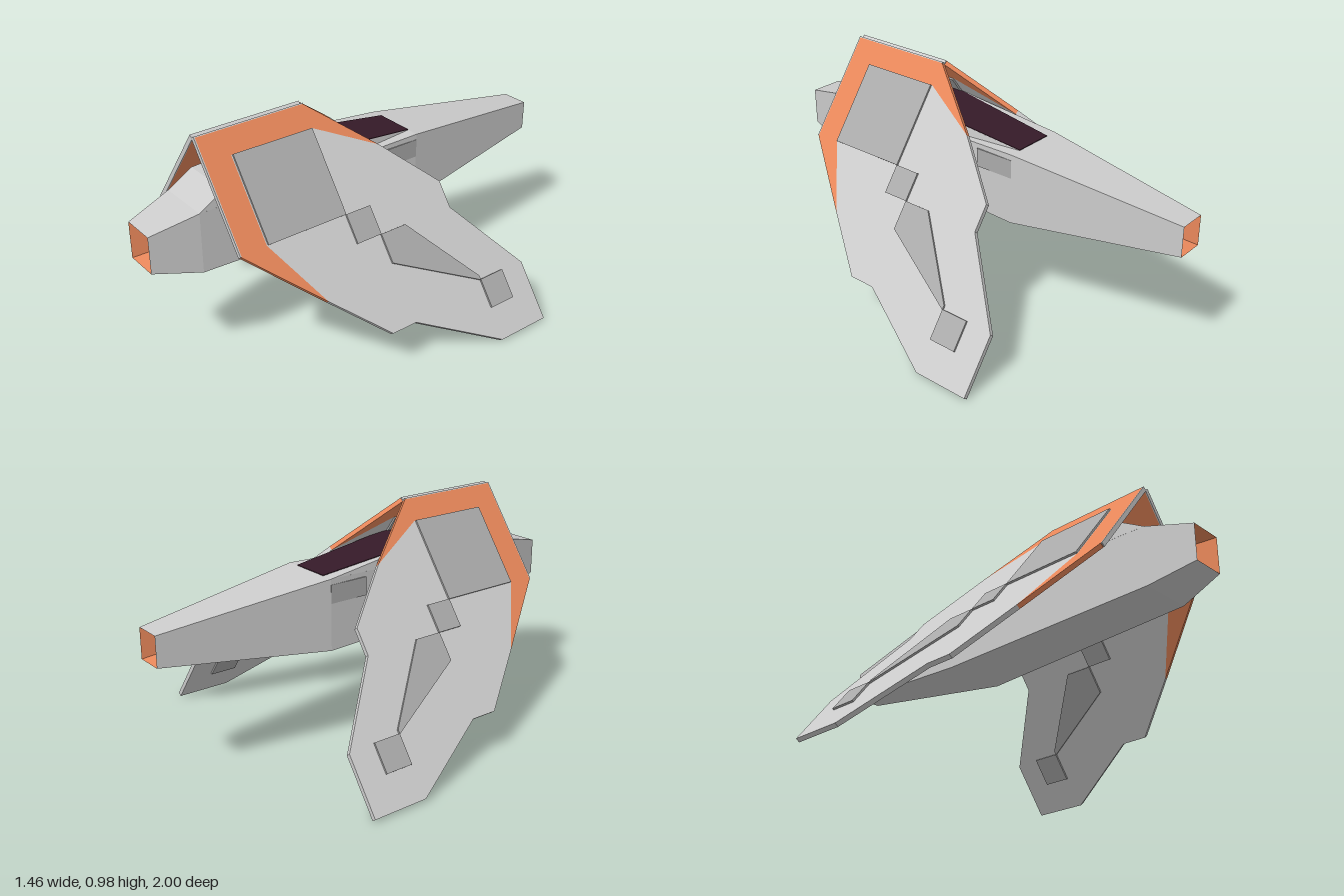
import * as THREE from 'three';

const mat = (color) => new THREE.MeshStandardMaterial({ color, flatShading: true });
const grey = mat(0xcccccc);
const panelGrey = mat(0xaaaaaa);
const orange = mat(0xe8875a);
const darkGlass = mat(0x351a28);

// Rectangular or trapezoidal cross-section: bottom and top half widths at depth z
const ring = (z, wBottom, wTop, y0, y1) => [
  [-wBottom, y0, z], [wBottom, y0, z], [wTop, y1, z], [-wTop, y1, z],
];
const box = (z, w, y0, y1) => ring(z, w, w, y0, y1);

// Skin consecutive cross-sections; faces point outward when z decreases
function loft(name, rings, material) {
  const pos = [];
  for (let i = 0; i < rings.length - 1; i++) {
    const a = rings[i], b = rings[i + 1];
    for (let j = 0; j < 4; j++) {
      const k = (j + 1) % 4;
      pos.push(...a[j], ...b[j], ...b[k], ...a[j], ...b[k], ...a[k]);
    }
  }
  const g = new THREE.BufferGeometry();
  g.setAttribute('position', new THREE.Float32BufferAttribute(pos, 3));
  g.computeVertexNormals();
  const m = new THREE.Mesh(g, material);
  m.name = name;
  return m;
}

// Wing frame: shape x runs along the craft, shape y runs up the slope
const SLOPE_X = 0.597, SLOPE_Y = 0.802;

function wingPart(name, points, thickness, material) {
  const shape = new THREE.Shape(points.map(([z, y]) => new THREE.Vector2(z, y / SLOPE_Y)));
  const g = new THREE.ExtrudeGeometry(shape, { depth: thickness, bevelEnabled: false });
  g.translate(0, 0, -thickness / 2);
  const m = new THREE.Mesh(g, material);
  m.name = name;
  return m;
}

const rect = (z0, z1, y0, y1) => [[z0, y0], [z1, y0], [z1, y1], [z0, y1]];

function createWing(side) {
  const wing = new THREE.Group();
  wing.name = side > 0 ? 'leftWing' : 'rightWing';
  const T = 0.02, P = 0.036;
  wing.add(
    // Main blade
    wingPart('wingBlade', [
      [0.62, 0.59], [0.62, 0.885], [0.24, 0.885], [-0.03, 0.765], [-0.25, 0.58], [-0.25, 0.485],
      [-0.5, 0.215], [-0.5, 0.007], [-0.25, 0.007], [0.12, 0.185], [0.24, 0.185], [0.46, 0.36],
    ], T, grey),
    // Painted leading edge
    wingPart('wingLeadingEdge', [
      [0.735, 0.968], [0.24, 0.968], [-0.03, 0.765], [0.24, 0.885], [0.62, 0.885],
      [0.62, 0.59], [0.46, 0.36], [0.735, 0.583],
    ], T, orange),
    // Thin bare edges along the ridge and the front
    wingPart('ridgeTrim', rect(0.24, 0.74, 0.968, 0.972), T, grey),
    wingPart('frontTrim', rect(0.735, 0.74, 0.585, 0.968), T, grey),
    // Raised plates, standing proud of both faces
    wingPart('upperPlate', rect(0.245, 0.615, 0.59, 0.885), P, panelGrey),
    wingPart('middlePlate', rect(0.125, 0.245, 0.49, 0.59), P, panelGrey),
    wingPart('taperedPlate', [
      [0.125, 0.49], [0, 0.49], [-0.255, 0.235], [-0.255, 0.22], [0.125, 0.39],
    ], P, panelGrey),
    wingPart('tipPlate', rect(-0.38, -0.255, 0.12, 0.222), P, panelGrey),
  );
  wing.applyMatrix4(new THREE.Matrix4().makeBasis(
    new THREE.Vector3(0, 0, 1),
    new THREE.Vector3(-side * SLOPE_X, SLOPE_Y, 0),
    new THREE.Vector3(-SLOPE_Y, -side * SLOPE_X, 0),
  ).setPosition(side * 0.728, 0, 0));
  return wing;
}

function createFuselage() {
  const body = new THREE.Group();
  body.name = 'fuselage';
  const nose = box(1, 0.074, 0.51, 0.67);
  const tail = box(-1, 0.06, 0.525, 0.655);
  body.add(
    loft('hull', [nose, box(0.8, 0.117, 0.46, 0.72), box(-0.25, 0.144, 0.436, 0.745), tail], grey),
    // Hollow tapered openings at both ends
    loft('noseIntake', [box(0.9, 0, 0.594, 0.594), box(0.9, 0.034, 0.534, 0.654), nose], orange),
    loft('tailExhaust', [tail, box(-0.9, 0.035, 0.545, 0.635), box(-0.9, 0, 0.59, 0.59)], orange),
    // Raised cabin roof
    loft('cabinRoof', [
      ring(0.8, 0.117, 0.117, 0.72, 0.72),
      ring(0.69, 0.12, 0.117, 0.723, 0.785),
      ring(0.28, 0.13, 0.122, 0.732, 0.81),
      ring(-0.25, 0.144, 0.09, 0.745, 0.745),
    ], grey),
    // Dark glazing laid on the roof
    loft('canopy', [
      box(0.28, 0, 0.812, 0.812),
      box(0.28, 0.121, 0.808, 0.813),
      box(-0.25, 0.09, 0.743, 0.748),
      box(-0.25, 0, 0.746, 0.746),
    ], darkGlass),
  );
  // Side panels
  for (const s of [-1, 1]) {
    const pad = new THREE.Mesh(new THREE.BoxGeometry(0.014, 0.08, 0.18), panelGrey);
    pad.name = s > 0 ? 'leftSidePanel' : 'rightSidePanel';
    pad.position.set(s * 0.138, 0.68, -0.16);
    body.add(pad);
  }
  body.position.x = 0.007;
  return body;
}

export function createModel() {
  const model = new THREE.Group();
  model.name = 'spacecraft';
  model.add(createFuselage(), createWing(1), createWing(-1));
  return model;
}
